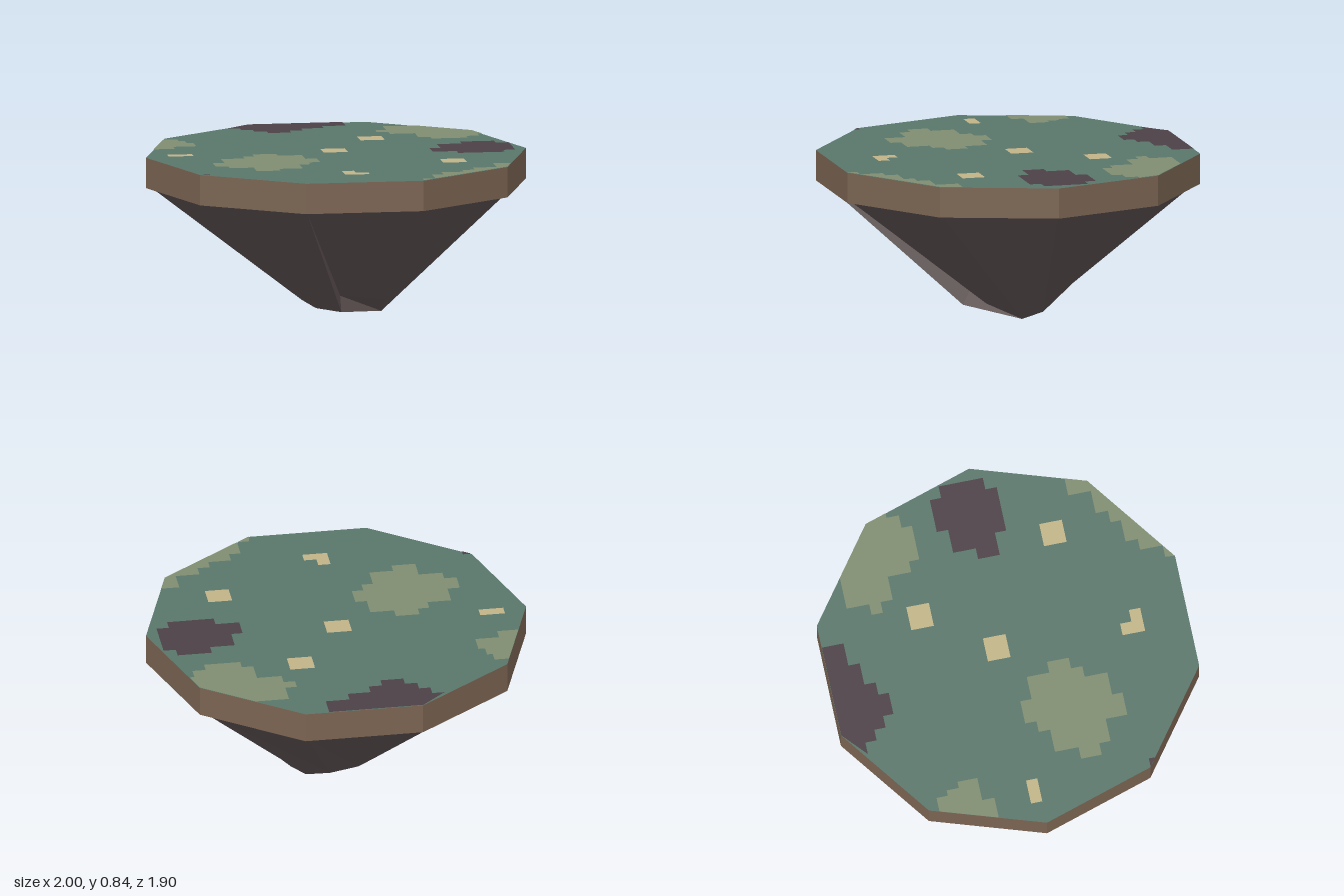
import * as THREE from 'three';

const TOP = 0.84, SLAB_BOTTOM = 0.68, SIDES = 10;

function material(name, color, extra = {}) {
  const m = new THREE.MeshStandardMaterial({ color, ...extra });
  m.name = name;
  return m;
}

// Half width of the ten-sided top at depth z
function halfWidth(z) {
  const a = Math.abs(z);
  return a < 0.588 ? 1 - 0.191 * a / 0.588 : 0.809 - 0.5 * (a - 0.588) / 0.363;
}

// Stepped ground patch from rows [z0, z1, x0, x1] in hundredths, trimmed to the rim
function patchGeometry(rows) {
  const pos = [];
  const clip = (x, z) => THREE.MathUtils.clamp(x, -halfWidth(z), halfWidth(z));
  const y = TOP + 0.003;
  for (const row of rows) {
    const [z0, z1, x0, x1] = row.map(v => v / 100);
    const cuts = [z0, ...[-0.588, 0.588].filter(c => c > z0 && c < z1), z1];
    for (let i = 0; i + 1 < cuts.length; i++) {
      const [a, b] = [cuts[i], cuts[i + 1]];
      const p = [[clip(x0, a), y, a], [clip(x0, b), y, b], [clip(x1, b), y, b], [clip(x1, a), y, a]];
      for (const k of [0, 1, 2, 0, 2, 3]) pos.push(...p[k]);
    }
  }
  const g = new THREE.BufferGeometry();
  g.setAttribute('position', new THREE.Float32BufferAttribute(pos, 3));
  g.computeVertexNormals();
  return g;
}

// Faceted rock tapering from a regular ring to an uneven tip
function rockGeometry() {
  const tip = [
    [0.24, 0.01, -0.01], [0.23, 0.09, 0.18], [-0.01, 0.12, 0.2], [-0.01, 0.04, 0.24], [-0.13, 0.05, 0.15],
    [-0.18, 0.07, 0.0], [-0.17, 0.08, -0.14], [-0.08, 0.1, -0.24], [0.07, 0.08, -0.25], [0.18, 0.02, -0.14],
  ];
  tip[0][1] = 0;
  const rim = tip.map((_, i) => {
    const a = i * 2 * Math.PI / SIDES;
    return [0.97 * Math.cos(a), SLAB_BOTTOM, 0.97 * Math.sin(a)];
  });
  const pos = [];
  const tri = (...pts) => pts.forEach(p => pos.push(...p));
  for (let i = 0; i < SIDES; i++) {
    const j = (i + 1) % SIDES;
    tri(rim[i], rim[j], tip[i]);
    tri(rim[j], tip[j], tip[i]);
    if (i > 0 && j > 0) tri(tip[0], tip[i], tip[j]);
  }
  const g = new THREE.BufferGeometry();
  g.setAttribute('position', new THREE.Float32BufferAttribute(pos, 3));
  g.computeVertexNormals();
  return g;
}

export function createModel() {
  const group = new THREE.Group();
  group.name = 'floatingIsland';
  const grass = material('grass', 0x59766b);
  const moss = material('moss', 0x7f8d70);
  const darkSoil = material('darkSoil', 0x4b4046);
  const sand = material('sand', 0xc0b386);
  const earth = material('earth', 0x7a6452, { flatShading: true });
  const rock = material('rock', 0x5c5050, { flatShading: true, side: THREE.DoubleSide });

  const add = (name, geometry, mat) => {
    const mesh = new THREE.Mesh(geometry, mat);
    mesh.name = name;
    group.add(mesh);
    return mesh;
  };

  // Ground slab: earth sides and underside, grass on top
  const slab = add('groundSlab',
    new THREE.CylinderGeometry(1, 1, TOP - SLAB_BOTTOM, SIDES, 1, false, Math.PI / 2), [earth, grass, earth]);
  slab.position.y = (TOP + SLAB_BOTTOM) / 2;

  add('rockUnderside', rockGeometry(), rock);

  // Moss patches
  add('mossBackRight', patchGeometry([
    [-78, -66, 37, 100], [-66, -60, 31, 100], [-60, -53.5, 37, 100],
    [-53.5, -47.5, 50, 100], [-47.5, -41, 50, 82], [-41, -35.5, 56, 75],
  ]), moss);
  add('mossLeft', patchGeometry([
    [-53.5, -47.5, -100, -75], [-47.5, -41, -100, -72], [-41, -30.5, -100, -68.5], [-30.5, -24, -100, -81],
  ]), moss);
  add('mossCentre', patchGeometry([
    [0, 6, -44, -31.5], [6, 12, -50, -19], [12, 18, -62.5, -19], [18, 24.5, -62.5, -13],
    [24.5, 29.5, -69, -13], [29.5, 35.5, -69, -19], [35.5, 41.5, -62.5, -25],
    [41.5, 47.5, -50, -25], [47.5, 53, -50, -37.5],
  ]), moss);
  add('mossFrontRight', patchGeometry([
    [47.5, 59.5, 75, 100], [59.5, 66, 62.5, 100], [66, 71.5, 56, 100],
    [71.5, 78, 44, 100], [78, 90, 38, 100], [90, 95, 31.5, 100],
  ]), moss);

  // Dark soil patches
  add('soilBack', patchGeometry([
    [-95, -83.5, -44, 18.5], [-83.5, -77.5, -37.5, 6], [-77.5, -71.5, -31.5, -6], [-71.5, -66, -25, -13],
  ]), darkSoil);
  add('soilRight', patchGeometry([
    [-23.5, -17.5, 69, 87], [-17.5, -5.5, 56, 93.5], [-5.5, 6, 50, 93.5], [6, 12, 62.5, 87],
  ]), darkSoil);
  add('soilFrontLeft', patchGeometry([[59, 62, -81, -76]]), darkSoil);

  // Small sand spots
  const spots = [
    [[-47.5, -35.5, 18.5, 31.5]], [[-12, 0, -6.5, 6.5]], [[-6, 0, -88, -75]],
    [[29.5, 41.5, 50, 62.5]], [[59.5, 65.5, -6.5, 0], [65.5, 71.5, -6.5, 6.5]],
  ];
  spots.forEach((rows, i) => add(`sandSpot${i + 1}`, patchGeometry(rows), sand));

  return group;
}
